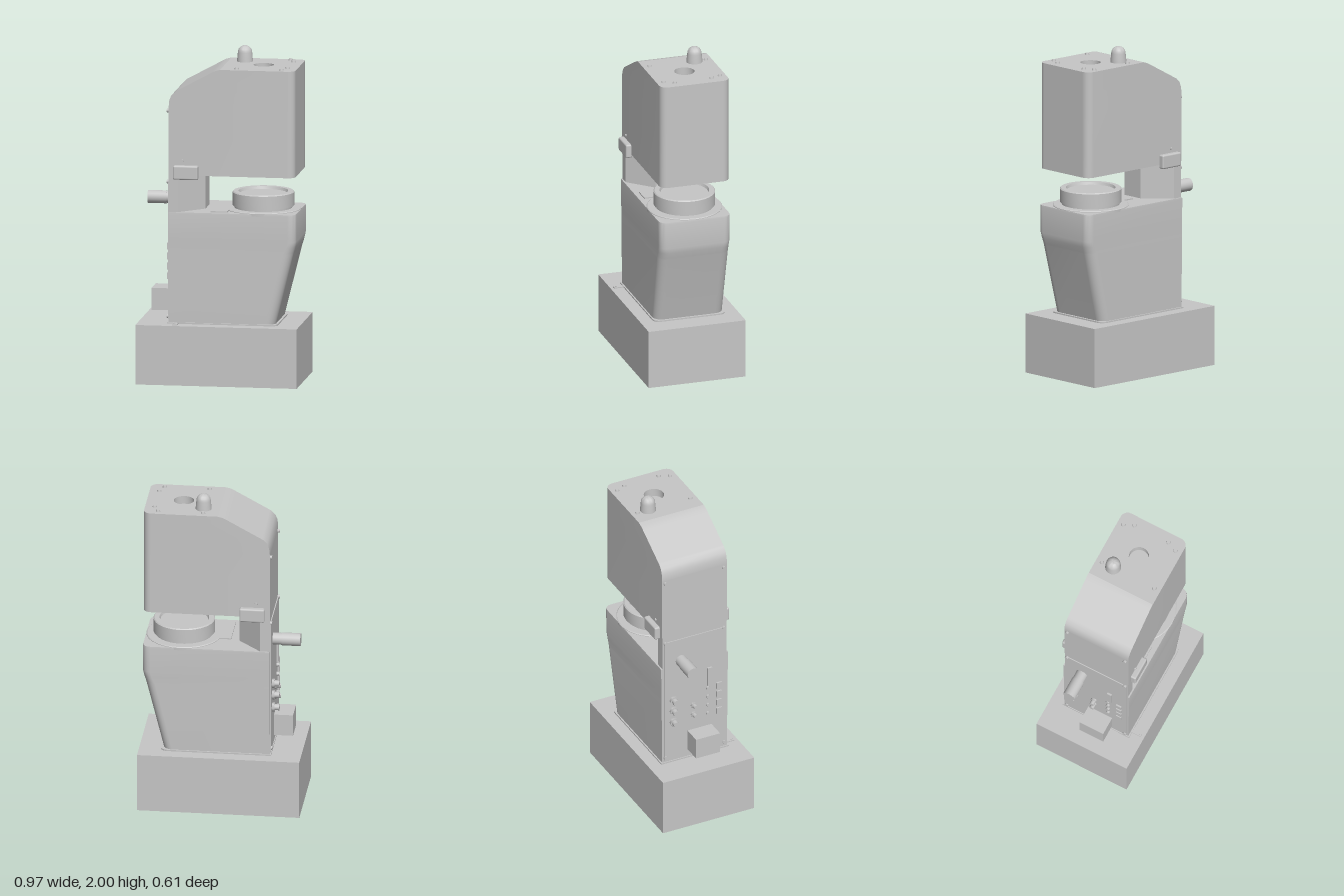
import * as THREE from 'three';
import { toCreasedNormals, mergeGeometries } from 'three/addons/utils/BufferGeometryUtils.js';
import { RoundedBoxGeometry } from 'three/addons/geometries/RoundedBoxGeometry.js';

const V2 = (x, y) => new THREE.Vector2(x, y);

// Plan outline with square back corners and front corners of radius r;
// a point just before and after each arc keeps the flat sides evenly shaded
function outline(x0, x1, w, r) {
  const e = 0.003, arc = [];
  for (let i = 0; i <= 6; i++) {
    const a = (i / 6) * Math.PI / 2;
    arc.push([x1 - r + r * Math.cos(a), w - r + r * Math.sin(a)]);
  }
  const left = [[x1, w - r - e], ...arc, [x1 - r - e, w], [x0, w]];
  const right = left.map(([x, v]) => [x, -v]).reverse();
  return [...right, ...left].map(p => V2(...p));
}

// Solid skinned through stacked plan outlines [y, points], with an optional hole in the top
function loft(sections, hole) {
  const n = sections[0][1].length, pos = [], idx = [];
  for (const [y, pts] of sections) for (const p of pts) pos.push(p.x, y, -p.y);
  for (let s = 0; s < sections.length - 1; s++) {
    for (let i = 0; i < n; i++) {
      const a = s * n + i, b = s * n + (i + 1) % n;
      idx.push(a, b, b + n, a, b + n, a + n);
    }
  }
  const wall = new THREE.BufferGeometry();
  wall.setAttribute('position', new THREE.Float32BufferAttribute(pos, 3));
  wall.setIndex(idx);
  const cap = ([y, pts], up) => {
    const shape = new THREE.Shape(pts);
    if (up && hole) shape.holes.push(new THREE.Path().absarc(hole.x, hole.z, hole.r, 0, Math.PI * 2, true));
    const g = new THREE.ShapeGeometry(shape, 12).rotateX(up ? -Math.PI / 2 : Math.PI / 2).translate(0, y, 0);
    g.deleteAttribute('uv');
    return g.toNonIndexed();
  };
  const skin = toCreasedNormals(wall, 0.6);
  return mergeGeometries([skin, cap(sections[0], false), cap(sections[sections.length - 1], true)]);
}

const lathe = (pts, seg = 40) =>
  toCreasedNormals(new THREE.LatheGeometry(pts.map(p => V2(...p)), seg), 0.6);

export function createModel() {
  const model = new THREE.Group();
  const grey = new THREE.MeshStandardMaterial({ color: 0xc6c6c6 });
  grey.name = 'lightGrey';

  const add = (name, geo, x = 0, y = 0, z = 0) => {
    const m = new THREE.Mesh(geo, grey);
    m.name = name;
    m.position.set(x, y, z);
    model.add(m);
  };
  // Box given by its limits on each axis
  const box = (name, x0, x1, y0, y1, z0, z1) =>
    add(name, new THREE.BoxGeometry(x1 - x0, y1 - y0, z1 - z0), (x0 + x1) / 2, (y0 + y1) / 2, (z0 + z1) / 2);
  // Cylinder lying along x
  const rod = (name, x0, x1, r, y, z, seg = 20) =>
    add(name, new THREE.CylinderGeometry(r, r, x1 - x0, seg).rotateZ(Math.PI / 2), (x0 + x1) / 2, y, z);

  // Plinth and mounting flange
  box('plinth', -0.487, 0.487, 0, 0.36, -0.304, 0.304);
  add('flange', loft([0.36, 0.368].map(y => [y, outline(-0.307, 0.355, 0.225, 0.04)])));
  box('flangeTab', -0.27, -0.24, 0.36, 0.366, 0.2, 0.283);
  add('tabScrew', new THREE.CylinderGeometry(0.006, 0.006, 0.004, 10), -0.255, 0.368, 0.268);

  // Lower body with slanted front
  add('lowerBody', loft([
    [0.365, outline(-0.3, 0.34, 0.216, 0.055)],
    [0.79, outline(-0.3, 0.446, 0.22, 0.055)],
    [0.8, outline(-0.3, 0.449, 0.22, 0.055)],
    [0.835, outline(-0.3, 0.459, 0.22, 0.05)],
    [0.87, outline(-0.3, 0.466, 0.221, 0.045)],
    [0.88, outline(-0.3, 0.466, 0.221, 0.045)],
    [1.025, outline(-0.3, 0.466, 0.223, 0.045)],
    [1.035, outline(-0.3, 0.464, 0.222, 0.045)],
  ]));

  // Neck, full width at the back and tapering forwards
  const neckPlan = [[-0.3, -0.213], [-0.24, -0.213], [-0.1, -0.07], [-0.1, 0.07], [-0.24, 0.213], [-0.3, 0.213]]
    .map(p => V2(...p));
  add('neck', loft([[1.03, neckPlan], [1.262, neckPlan]]));

  // Head with sloped back and a round port in the top
  const hole = { x: 0.24, z: 0, r: 0.061 };
  const headBack = [[1.258, -0.3], [1.66, -0.3], [1.67, -0.3], [1.71, -0.296], [1.74, -0.284], [1.765, -0.26],
    [1.771, -0.249], [1.876, -0.056], [1.882, -0.045], [1.895, -0.02], [1.903, 0.01]];
  add('head', loft(headBack.map(([y, x]) => [y, outline(x, 0.46, 0.216, 0.045)]), hole));
  add('topPort', lathe([[hole.r, 0], [hole.r, -0.05], [0, -0.05]], 24), hole.x, 1.903, hole.z);

  // Beacon
  const beacon = [[0.048, 0], [0.046, 0.025], [0.043, 0.055]];
  for (let i = 1; i <= 6; i++) {
    const a = (i / 6) * Math.PI / 2;
    beacon.push([0.043 * Math.cos(a), 0.055 + 0.042 * Math.sin(a)]);
  }
  add('beacon', lathe(beacon, 24), 0.11, 1.903, -0.105);

  // Head screws
  for (const [x, z] of [[0.105, -0.178], [0.105, 0.175], [0.375, -0.178], [0.375, 0.175], [0.402, -0.117], [0.402, 0.113]])
    add('topScrew', new THREE.CylinderGeometry(0.011, 0.014, 0.011, 8), x, 1.908, z);

  // Round platform and drum
  add('platform', lathe([[0, 0], [0.226, 0], [0.226, 0.016], [0.221, 0.02], [0, 0.02]], 48), 0.238, 1.022, 0);
  add('drum', lathe([[0.172, 0], [0.172, 0.02], [0.184, 0.02], [0.184, 0.1], [0.178, 0.106],
    [0.148, 0.106], [0.142, 0.09], [0, 0.09]], 48), 0.238, 1.036, 0);
  box('platformStep', -0.05, 0.05, 1.02, 1.042, -0.06, 0.19);

  // Side latches
  for (const s of [1, -1]) {
    add('sideLatch', new RoundedBoxGeometry(0.15, 0.085, 0.04, 2, 0.01), -0.195, 1.278, s * 0.229);
    add('latchPin', new THREE.CylinderGeometry(0.009, 0.009, 0.012, 10).rotateX(Math.PI / 2), -0.217, 1.345, s * 0.218);
  }

  // Rear panel and hinge strip
  box('rearPanel', -0.306, -0.298, 0.385, 1.22, -0.205, 0.205);
  box('rearStrip', -0.318, -0.3, 0.84, 0.965, 0.08, 0.11);
  for (const y of [0.4, 1.215, 1.645])
    for (const z of [-0.195, 0.195]) rod('rearScrew', -0.313, -0.298, 0.012, y, z, 8);

  // Rear pipe
  rod('pipeCollar', -0.37, -0.3, 0.036, 1.07, -0.093);
  rod('pipe', -0.472, -0.36, 0.039, 1.07, -0.093);

  // Rear connectors
  for (const y of [0.8, 0.725, 0.645]) {
    rod('connectorNut', -0.322, -0.3, 0.028, y, -0.143, 6);
    rod('connector', -0.35, -0.32, 0.019, y, -0.143, 12);
  }
  for (const y of [0.725, 0.66]) {
    rod('smallConnectorNut', -0.318, -0.3, 0.02, y, -0.01, 6);
    rod('smallConnector', -0.343, -0.316, 0.014, y, -0.01, 12);
  }
  for (const y of [0.64, 0.7, 0.76, 0.82]) {
    box('socket', -0.316, -0.3, y - 0.02, y + 0.02, 0.14, 0.175);
    rod('button', -0.32, -0.3, 0.012, y, 0.085, 10);
  }

  // Rear junction box
  box('junctionBox', -0.42, -0.3, 0.42, 0.553, -0.05, 0.11);
  return model;
}
